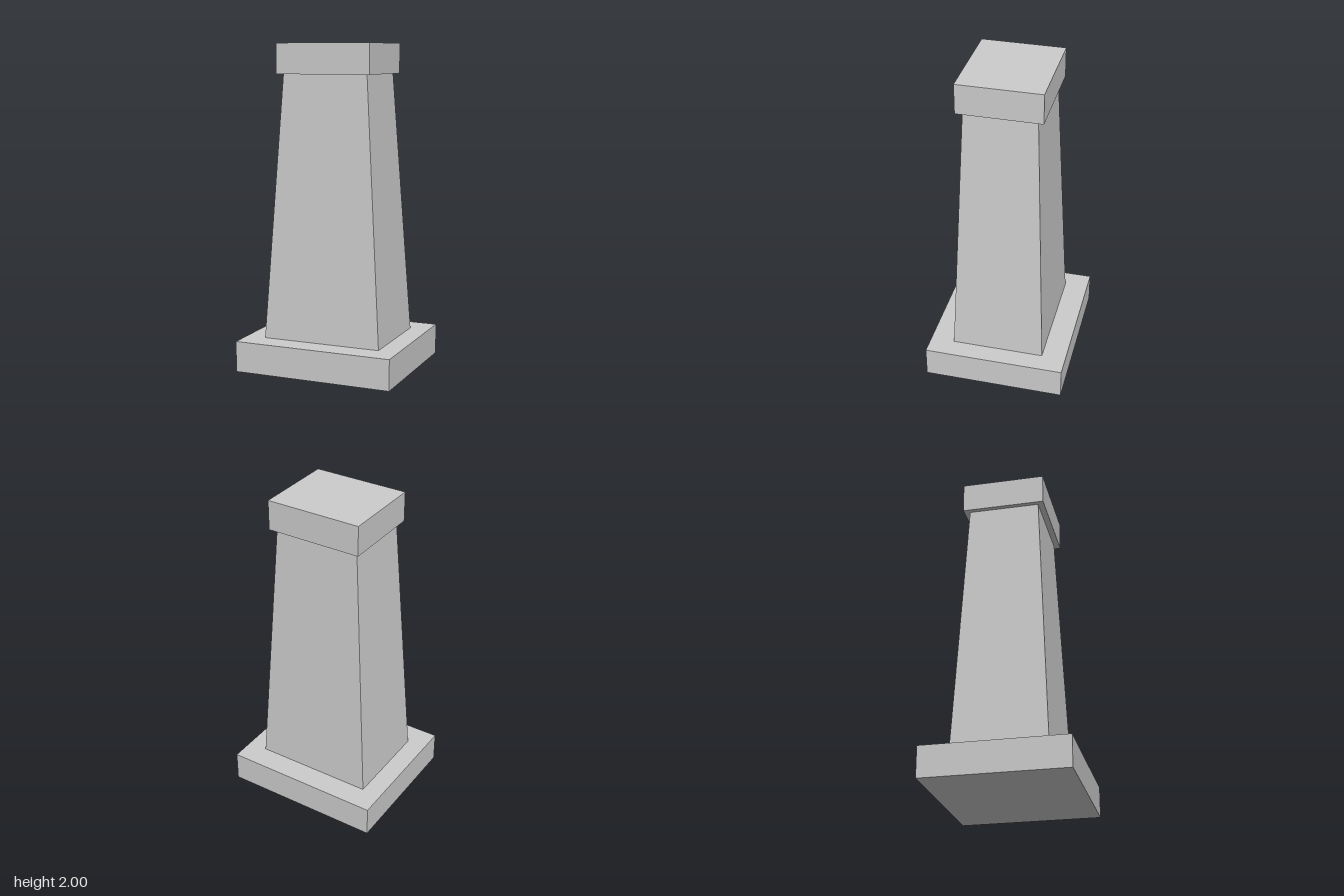
import * as THREE from 'three';

const material = new THREE.MeshStandardMaterial({ color: 0xcccccc, flatShading: true });

// Four-sided block from y0 to y1; bottom and top are [half width, half depth]
function block(name, y0, y1, bottom, top = bottom) {
  const geometry = new THREE.BoxGeometry(2, y1 - y0, 2);
  geometry.translate(0, (y0 + y1) / 2, 0);
  const p = geometry.attributes.position;
  const middle = (y0 + y1) / 2;
  for (let i = 0; i < p.count; i++) {
    const [w, d] = p.getY(i) > middle ? top : bottom;
    p.setX(i, p.getX(i) * w);
    p.setZ(i, p.getZ(i) * d);
  }
  geometry.computeVertexNormals();
  const mesh = new THREE.Mesh(geometry, material);
  mesh.name = name;
  return mesh;
}

export function createModel() {
  const pillar = new THREE.Group();
  pillar.name = 'pillar';
  pillar.add(
    block('basePlinth', 0, 0.19, [0.5, 0.438]),
    block('taperedShaft', 0.19, 1.815, [0.376, 0.288], [0.27, 0.22]),
    block('capital', 1.815, 2, [0.3, 0.257]),
  );
  return pillar;
}
